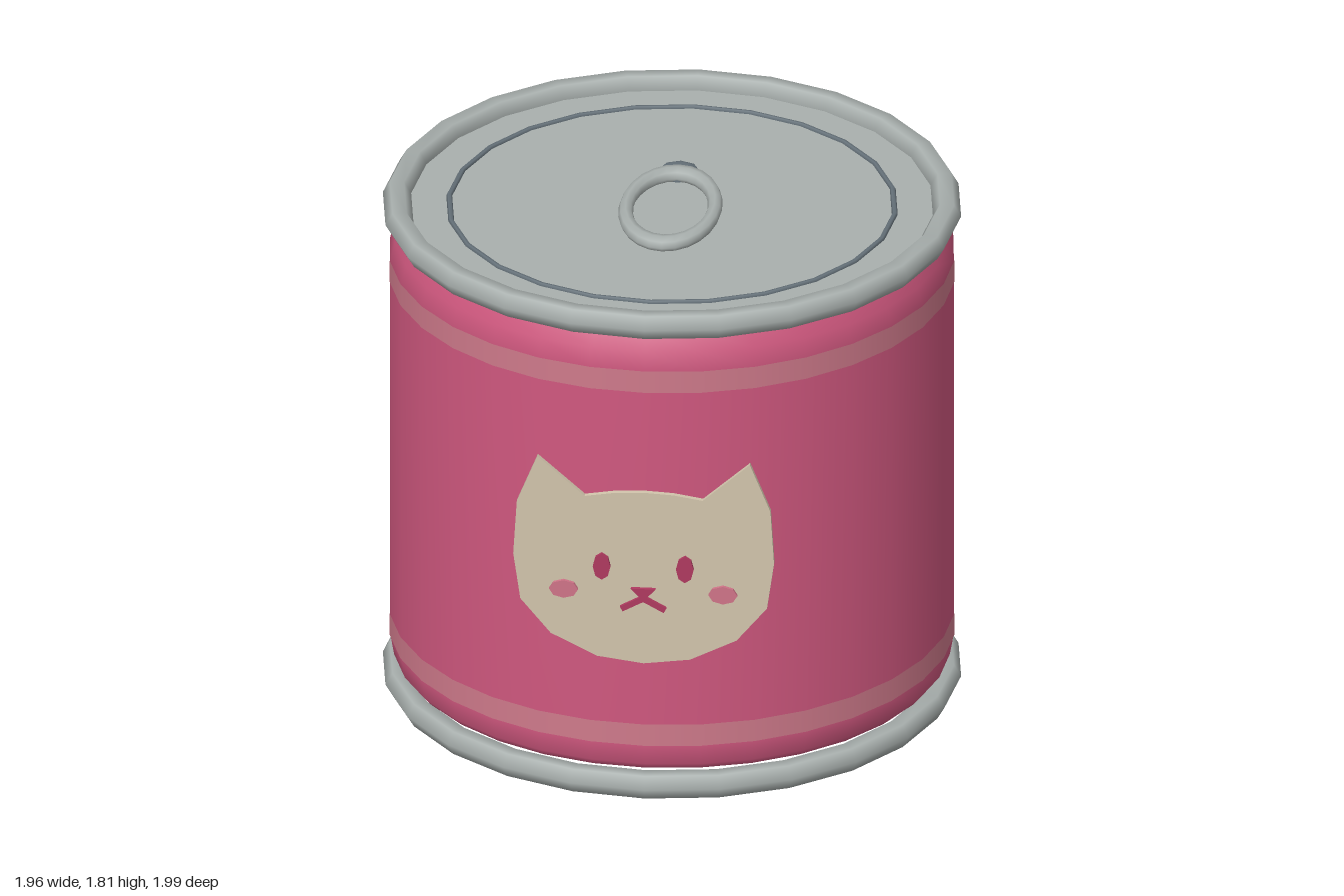
import * as THREE from 'three';

const material = (color) => new THREE.MeshStandardMaterial({ color });
const METAL = material(0xa9b0ae);
const DARK_METAL = material(0x66727a);
const PINK = material(0xd0587f);
const BAND = material(0xcf7a8b);
const CREAM = material(0xd2c5ac);
const ROSE = material(0xb03a60);
const BLUSH = material(0xd07488);

function add(parent, name, geometry, mat, x = 0, y = 0, z = 0) {
  const mesh = new THREE.Mesh(geometry, mat);
  mesh.name = name;
  mesh.position.set(x, y, z);
  parent.add(mesh);
  return mesh;
}

// Horizontal ring, lying in the xz plane
const ring = (radius, tube, sides, segments) =>
  new THREE.TorusGeometry(radius, tube, sides, segments).rotateX(Math.PI / 2);

// Flat plate cut from an outline of [x, y] points
function plate(points, depth) {
  const shape = new THREE.Shape(points.map(([x, y]) => new THREE.Vector2(x, y)));
  return new THREE.ExtrudeGeometry(shape, { depth, bevelEnabled: false });
}

// Flat oval plate with few sides
function oval(rx, ry, depth, sides = 8) {
  const points = [];
  for (let i = 0; i < sides; i++) {
    const a = (i / sides) * Math.PI * 2 + Math.PI / 2;
    points.push([rx * Math.cos(a), ry * Math.sin(a)]);
  }
  return plate(points, depth);
}

function createCan() {
  const can = new THREE.Group();
  can.name = 'can';

  // Body wall, drawn in at both ends
  const profile = [
    [0.885, 0.083], [0.92, 0.1], [0.942, 0.125], [0.955, 0.2],
    [0.955, 1.6], [0.94, 1.67], [0.915, 1.73], [0.9, 1.76],
  ].map(([r, y]) => new THREE.Vector2(r, y));
  add(can, 'body', new THREE.LatheGeometry(profile, 32), PINK);
  add(can, 'base', new THREE.CircleGeometry(0.885, 32).rotateX(Math.PI / 2), PINK, 0, 0.083);

  // Paler bands around the wall
  for (const [name, y] of [['upperBand', 1.565], ['lowerBand', 0.24]]) {
    add(can, name, new THREE.CylinderGeometry(0.958, 0.958, 0.08, 32, 1, true), BAND, 0, y);
  }

  // Rolled metal rims
  add(can, 'topRim', ring(0.932, 0.048, 6, 24), METAL, 0, 1.768);
  add(can, 'bottomRim', ring(0.932, 0.048, 6, 24), METAL, 0, 0.043);

  // Lid with its groove, rivet and pull ring
  add(can, 'lid', new THREE.CylinderGeometry(0.9, 0.9, 0.04, 32), METAL, 0, 1.745);
  add(can, 'lidGroove', ring(0.755, 0.01, 6, 24), DARK_METAL, 0, 1.765);
  const rivet = add(can, 'rivet', new THREE.SphereGeometry(0.075, 8, 6), DARK_METAL, 0, 1.768, -0.245);
  rivet.scale.y = 0.35;
  const pull = add(can, 'pullRing', ring(0.15, 0.025, 8, 24), METAL, 0, 1.78, 0.055);
  pull.scale.z = 1.8;

  can.position.z = -0.015;
  return can;
}

function createCatFace() {
  const face = new THREE.Group();
  face.name = 'catFace';

  // Head outline: one half from chin to brow, then mirrored
  const half = [
    [0.157, 0.548], [0.315, 0.627], [0.418, 0.752], [0.442, 0.92],
    [0.43, 1.115], [0.36, 1.288], [0.2, 1.146], [0.1, 1.162],
  ];
  const mirrored = half.map(([x, y]) => [-x, y]).reverse();
  add(face, 'head', plate([[0, 0.527], ...half, [0, 1.167], ...mirrored], 0.018), CREAM, 0, 0, 0.96);

  // Eyes, cheeks and the two strokes of the mouth
  const front = 0.984;
  for (const [side, s] of [['left', 1], ['right', -1]]) {
    add(face, side + 'Eye', oval(0.03, 0.049, 0.012), ROSE, s * 0.141, 0.892, front);
    add(face, side + 'Cheek', oval(0.049, 0.033, 0.012), BLUSH, s * 0.27, 0.802, front);
    const stroke = add(face, side + 'Mouth', new THREE.BoxGeometry(0.085, 0.02, 0.012), ROSE, s * 0.037, 0.757, front + 0.007);
    stroke.rotation.z = -s * 0.5;
  }
  add(face, 'nose', plate([[-0.042, 0.815], [0, 0.768], [0.042, 0.815]], 0.014), ROSE, 0, 0, front);
  return face;
}

function createPawPrint() {
  const paw = new THREE.Group();
  paw.name = 'pawPrint';
  const back = -0.99;
  add(paw, 'pawPad', oval(0.15, 0.13, 0.015, 10), CREAM, 0, 0.86, back);
  add(paw, 'middleToe', oval(0.078, 0.07, 0.015), CREAM, 0, 1.055, back);
  for (const s of [1, -1]) {
    add(paw, s > 0 ? 'leftToe' : 'rightToe', oval(0.063, 0.056, 0.015), CREAM, s * 0.205, 0.985, back);
  }
  return paw;
}

export function createModel() {
  const model = new THREE.Group();
  model.name = 'petFoodCan';
  model.add(createCan(), createCatFace(), createPawPrint());
  return model;
}
